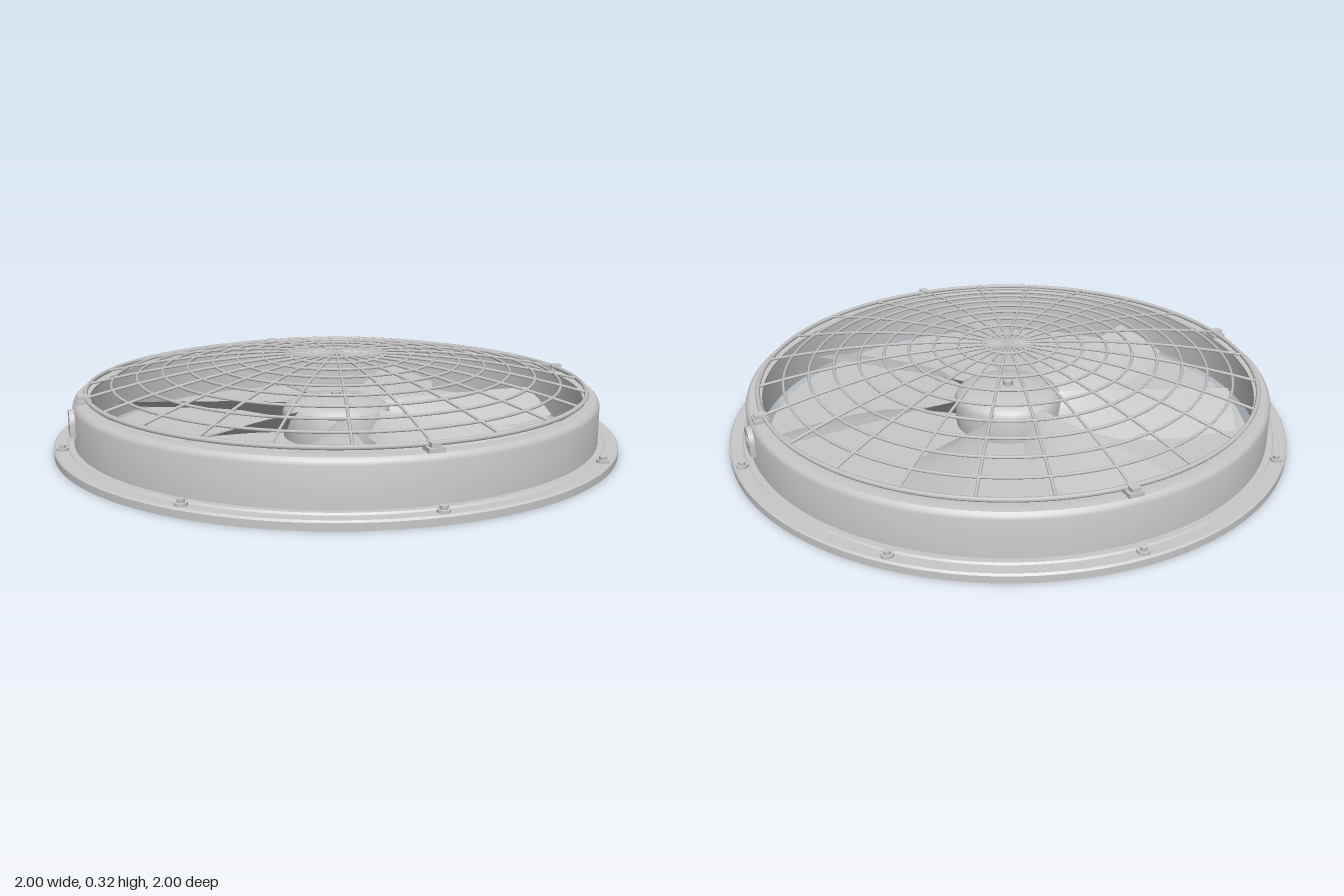
import * as THREE from 'three';
import { toCreasedNormals } from 'three/addons/utils/BufferGeometryUtils.js';

export function createModel() {
  const model = new THREE.Group();
  const grey = new THREE.MeshStandardMaterial({ color: 0xc8c8c8 });
  grey.name = 'light grey metal';
  const greySheet = new THREE.MeshStandardMaterial({ color: 0xc8c8c8, side: THREE.DoubleSide });
  greySheet.name = 'light grey sheet metal';

  const add = (name, geometry, parent = model, material = grey) => {
    const mesh = new THREE.Mesh(geometry, material);
    mesh.name = name;
    parent.add(mesh);
    return mesh;
  };
  const lathe = (points, segments = 96) => toCreasedNormals(
    new THREE.LatheGeometry(points.map(([r, y]) => new THREE.Vector2(r, y)), segments), 0.6);
  // Group turned to a given angle around the vertical axis
  const spoke = (name, angle) => {
    const group = new THREE.Group();
    group.name = name;
    group.rotation.y = angle;
    model.add(group);
    return group;
  };

  // Mounting flange: hollow underneath, with a turned-down outer lip
  add('flange', lathe([[0.92, 0.022], [0.988, 0.022], [0.992, 0], [1, 0], [1, 0.024], [0.994, 0.03],
    [0.955, 0.03], [0.95, 0.036], [0.92, 0.036]]));
  // Rolled housing wall with an inward lip at the top
  add('housing', lathe([[0.905, 0], [0.93, 0], [0.93, 0.165], [0.926, 0.177], [0.917, 0.185],
    [0.895, 0.187], [0.872, 0.185], [0.872, 0.178], [0.905, 0.172], [0.905, 0]]));

  // Back plate, leaving a narrow gap to the wall
  add('backPlate', new THREE.CylinderGeometry(0.87, 0.87, 0.004, 96)).position.y = 0.003;

  // Fan hub with rounded shoulder and centre bolt
  const fan = new THREE.Group();
  fan.name = 'fan';
  model.add(fan);
  add('hub', lathe([[0, 0.005], [0.19, 0.005], [0.195, 0.1], [0.185, 0.12],
    [0.16, 0.135], [0.08, 0.145], [0, 0.147]], 48), fan);
  add('hubBolt', new THREE.CylinderGeometry(0.018, 0.018, 0.02, 6), fan).position.y = 0.155;

  // Twisted blade sections: radius, leading z, trailing z, leading y, trailing y
  const sections = [
    [0.17, 0, 0.06, 0.12, 0.035], [0.28, -0.01, 0.14, 0.122, 0.035],
    [0.4, -0.02, 0.2, 0.122, 0.035], [0.52, -0.035, 0.205, 0.12, 0.038],
    [0.66, -0.048, 0.185, 0.118, 0.042], [0.81, -0.062, 0.14, 0.115, 0.05]];
  const rows = 5, cols = sections.length;
  const bladeGeometry = new THREE.PlaneGeometry(1, 1, cols - 1, rows - 1);
  const vertices = bladeGeometry.attributes.position;
  for (let i = 0; i < vertices.count; i++) {
    const [r, z0, z1, y0, y1] = sections[i % cols];
    const t = Math.floor(i / cols) / (rows - 1);
    const camber = 0.005 * Math.sin(Math.PI * t);
    vertices.setXYZ(i, r, y0 + (y1 - y0) * t + camber, z0 + (z1 - z0) * t);
  }
  bladeGeometry.computeVertexNormals();
  for (let i = 0; i < 7; i++) {
    add('blade', bladeGeometry, fan, greySheet).rotation.y = i * Math.PI * 2 / 7;
  }

  // Domed wire guard: concentric rings and wires across the full width
  const guard = new THREE.Group();
  guard.name = 'guard';
  model.add(guard);
  const domeY = r => 0.311 - 0.106 * (r / 0.885) ** 2;
  for (let i = 1; i <= 10; i++) {
    const r = 0.0885 * i;
    const ring = add('guardRing', new THREE.TorusGeometry(r, i === 10 ? 0.008 : 0.005, 6, 96), guard);
    ring.rotation.x = Math.PI / 2;
    ring.position.y = domeY(r);
  }
  const arch = [];
  for (let i = -8; i <= 8; i++) {
    const r = i * 0.885 / 8;
    arch.push(new THREE.Vector3(r, domeY(r), 0));
  }
  const wire = new THREE.TubeGeometry(new THREE.CatmullRomCurve3(arch), 32, 0.005, 6);
  for (let i = 0; i < 12; i++) add('guardWire', wire, guard).rotation.y = i * Math.PI / 12;
  add('guardCentre', new THREE.CylinderGeometry(0.025, 0.025, 0.008, 24), guard).position.y = 0.311;

  // Clips that hold the guard to the housing
  for (let i = 0; i < 4; i++) {
    const clip = spoke('guardClip', i * Math.PI / 2);
    add('clipBase', new THREE.BoxGeometry(0.05, 0.014, 0.05), clip).position.set(0.895, 0.193, 0);
    add('clipTop', new THREE.BoxGeometry(0.04, 0.014, 0.03), clip).position.set(0.895, 0.207, 0);
  }

  // Flange bolts
  for (let i = 0; i < 8; i++) {
    const bolt = spoke('flangeBolt', i * Math.PI / 4);
    add('washer', new THREE.CylinderGeometry(0.02, 0.02, 0.01, 20), bolt).position.set(0.972, 0.034, 0);
    add('boltHead', new THREE.CylinderGeometry(0.013, 0.013, 0.012, 6), bolt).position.set(0.972, 0.044, 0);
  }

  // Lifting lugs on both sides: arched plate with an arched opening
  const archOutline = (shape, halfWidth, bottom, spring) => {
    shape.moveTo(-halfWidth, bottom);
    shape.lineTo(halfWidth, bottom);
    shape.lineTo(halfWidth, spring);
    shape.absarc(0, spring, halfWidth, 0, Math.PI, false);
    shape.closePath();
    return shape;
  };
  const lugShape = archOutline(new THREE.Shape(), 0.045, 0.08, 0.125);
  lugShape.holes.push(archOutline(new THREE.Path(), 0.027, 0.118, 0.128));
  const lugGeometry = toCreasedNormals(
    new THREE.ExtrudeGeometry(lugShape, { depth: 0.022, bevelEnabled: false, curveSegments: 12 }), 0.6);
  for (const angle of [0, Math.PI]) {
    const lug = add('liftingLug', lugGeometry, spoke('lugMount', angle));
    lug.rotation.y = Math.PI / 2;
    lug.position.x = 0.924;
  }
  return model;
}
